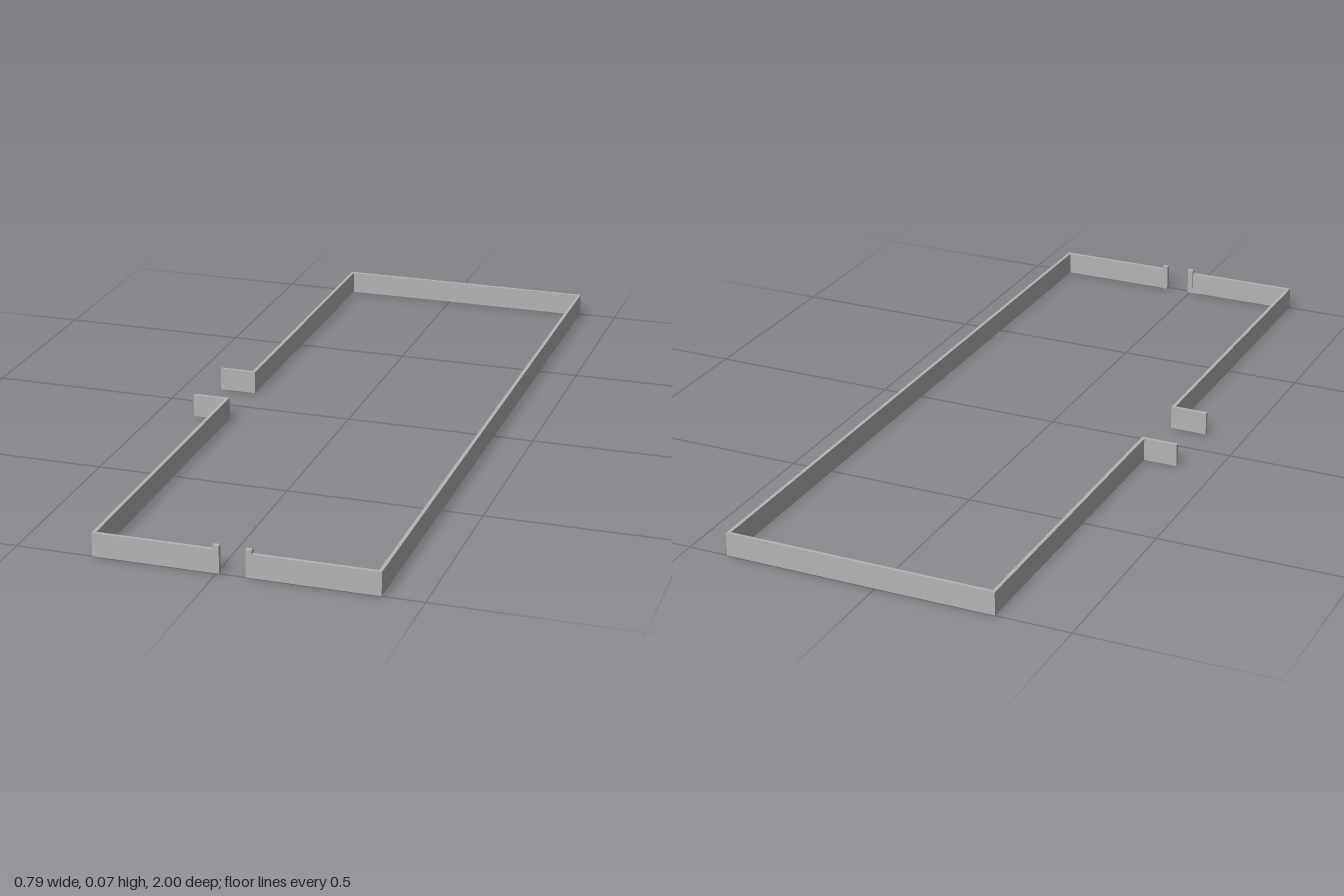
import * as THREE from 'three';

const T = 0.009; // wall thickness
const H = 0.06; // wall height

export function createModel() {
  const group = new THREE.Group();
  const grey = new THREE.MeshStandardMaterial({ color: 0xb4b4b4 });
  grey.name = 'wall grey';

  // Box given by its footprint limits, standing on the ground
  const block = (name, x0, x1, z0, z1, h = H) => {
    const mesh = new THREE.Mesh(new THREE.BoxGeometry(x1 - x0, h, z1 - z0), grey);
    mesh.position.set((x0 + x1) / 2, h / 2, (z0 + z1) / 2);
    mesh.name = name;
    group.add(mesh);
  };

  const L = -0.308, R = 0.397; // outer faces of the long walls

  // Long unbroken wall and back wall
  block('leftWall', R - T, R, -1, 1);
  block('backWall', L, R - T, -1, -1 + T);

  // Right wall in two runs, each turning outward at the side opening
  block('rightWallBack', L, L + T, -1 + T, -0.104);
  block('rightWallFront', L, L + T, 0.094, 1 - T);
  block('openingReturnBack', -0.397, L, -0.104 - T, -0.104);
  block('openingReturnFront', -0.397, L, 0.094, 0.094 + T);

  // Front wall with a gate gap between two taller posts
  block('frontWallRight', L, -0.008, 1 - T, 1);
  block('frontWallLeft', 0.087, R - T, 1 - T, 1);
  block('gatePostRight', -0.008, 0.007, 0.988, 1, 0.07);
  block('gatePostLeft', 0.072, 0.087, 0.988, 1, 0.07);

  return group;
}
